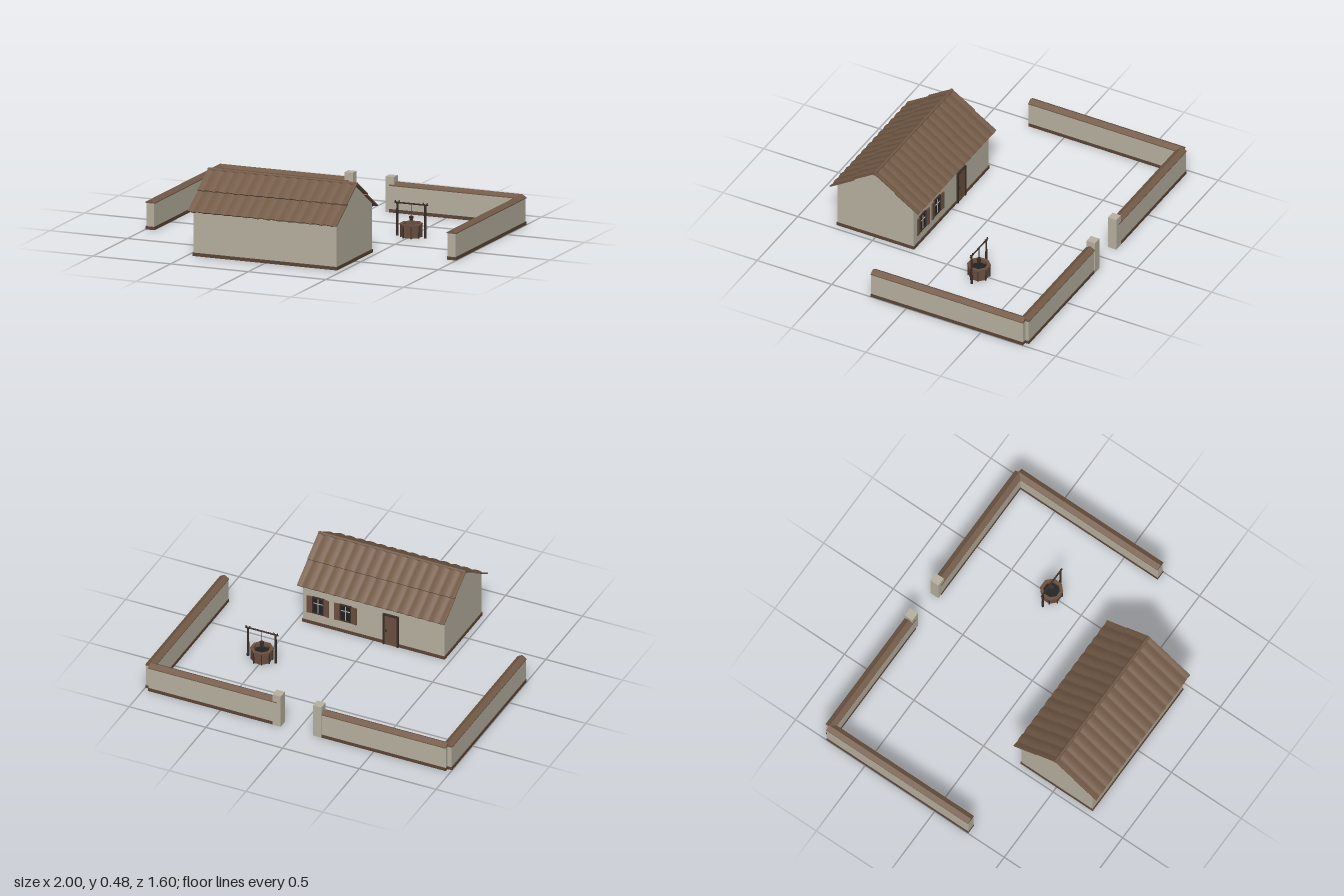
import * as THREE from 'three';

const mat = (name, color, side = THREE.FrontSide) => {
  const m = new THREE.MeshStandardMaterial({ color, side });
  m.name = name;
  return m;
};

export function createModel() {
  const root = new THREE.Group();
  const plaster = mat('plaster', 0xb8b1a0, THREE.DoubleSide);
  const tile = mat('roofTile', 0x735a47);
  const plinth = mat('plinthBrown', 0x5c4536);
  const timber = mat('darkTimber', 0x3c2f27);
  const wood = mat('wood', 0x6b5040);
  const glass = mat('darkGlass', 0x202124);
  wood.flatShading = true;

  const add = (parent, name, geo, material, x = 0, y = 0, z = 0) => {
    const m = new THREE.Mesh(geo, material);
    m.name = name;
    m.position.set(x, y, z);
    parent.add(m);
    return m;
  };
  const box = (parent, name, material, w, h, d, x, y, z) =>
    add(parent, name, new THREE.BoxGeometry(w, h, d), material, x, y, z);
  const group = (parent, name, x = 0, y = 0, z = 0) => {
    const g = new THREE.Group();
    g.name = name;
    g.position.set(x, y, z);
    parent.add(g);
    return g;
  };

  // House shell, open underneath
  const house = group(root, 'house', 0, 0, 0.5);
  const HX = 0.46, HZ = 0.255, EAVE = 0.3, APEX = 0.46;
  const gable = new THREE.Shape([[-HZ, 0], [HZ, 0], [HZ, EAVE], [0, APEX], [-HZ, EAVE]]
    .map(p => new THREE.Vector2(...p)));
  for (const s of [-1, 1]) {
    add(house, 'gableWall', new THREE.ShapeGeometry(gable), plaster, s * HX).rotation.y = s * Math.PI / 2;
    const wall = add(house, 'longWall', new THREE.PlaneGeometry(2 * HX, EAVE), plaster, 0, EAVE / 2, s * HZ);
    if (s < 0) wall.rotation.y = Math.PI;
    box(house, 'plinth', plinth, 2 * HX + 0.01, 0.02, 0.01, 0, 0.01, s * HZ);
    box(house, 'plinth', plinth, 0.01, 0.02, 2 * HZ, s * HX, 0.01, 0);
  }

  // Corrugated tile courses, two on each slope
  const course = (z0, z1, y) => {
    const g = new THREE.BoxGeometry(0.96, 0.007, z1 - z0, 14 * 8, 1, 1);
    const p = g.attributes.position;
    for (let i = 0; i < p.count; i++) {
      const wave = Math.abs(Math.cos(p.getX(i) / 0.96 * Math.PI * 14));
      p.setY(i, p.getY(i) + 0.006 * (wave - 0.6));
    }
    g.translate(0, y, (z0 + z1) / 2);
    g.computeVertexNormals();
    return g;
  };
  for (const s of [0, 1]) {
    const side = group(house, 'roofSide', 0, 0.467, 0);
    side.rotation.y = s * Math.PI;
    const slope = group(side, 'roofSlope');
    slope.rotation.x = Math.atan(0.63);
    add(slope, 'upperTiles', course(0, 0.18, 0.002), tile);
    add(slope, 'lowerTiles', course(0.165, 0.353, -0.005), tile);
  }
  const ridge = add(house, 'ridge', new THREE.CylinderGeometry(0.01, 0.01, 0.96, 8), tile, 0, 0.469, 0);
  ridge.rotation.z = Math.PI / 2;

  // Windows with shutters on the yard side
  for (const x of [0.36, 0.18]) {
    const win = group(house, 'window', x, 0.14, -HZ);
    box(win, 'glass', glass, 0.06, 0.1, 0.006, 0, 0, -0.002);
    for (const s of [-1, 1]) {
      box(win, 'frameSide', timber, 0.008, 0.116, 0.012, s * 0.034, 0, -0.004);
      box(win, 'frameRail', timber, 0.076, 0.008, 0.012, 0, s * 0.054, -0.004);
      box(win, 'shutter', wood, 0.034, 0.116, 0.008, s * 0.056, 0, -0.009).rotation.y = s * 0.15;
    }
    box(win, 'mullion', plaster, 0.006, 0.1, 0.004, 0, 0, -0.006);
    box(win, 'transom', plaster, 0.06, 0.005, 0.004, 0, 0.015, -0.006);
  }

  // Door
  const door = group(house, 'door', -0.115, 0, -HZ);
  box(door, 'doorPanel', wood, 0.084, 0.205, 0.01, 0, 0.1025, -0.003);
  for (const s of [-1, 1]) box(door, 'doorJamb', timber, 0.01, 0.215, 0.018, s * 0.046, 0.1075, -0.004);
  box(door, 'doorLintel', timber, 0.102, 0.01, 0.018, 0, 0.21, -0.004);
  box(door, 'doorHandle', timber, 0.006, 0.016, 0.008, 0.03, 0.1, -0.01);

  // Yard walls: plinth, plastered body and a gabled cap along local z
  const cap = new THREE.Shape([[-0.03, 0.16], [0.03, 0.16], [0.03, 0.166], [0, 0.184], [-0.03, 0.166]]
    .map(p => new THREE.Vector2(...p)));
  const yardWall = (len, x, z, turn) => {
    const g = group(root, 'yardWall', x, 0, z);
    g.rotation.y = turn;
    box(g, 'wallBody', plaster, 0.05, 0.15, len - 0.002, 0, 0.09, 0);
    box(g, 'wallPlinth', plinth, 0.058, 0.02, len, 0, 0.01, 0);
    const c = new THREE.ExtrudeGeometry(cap, { depth: len, bevelEnabled: false });
    add(g, 'wallCap', c, tile, 0, 0, -len / 2);
  };
  for (const s of [-1, 1]) {
    yardWall(1.02, s * 0.97, -0.27, 0);
    yardWall(0.84, s * 0.55, -0.775, Math.PI / 2);
    box(root, 'gatePost', plaster, 0.055, 0.215, 0.056, s * 0.1325, 0.1075, -0.777);
  }

  // Octagonal well
  const well = group(root, 'well', 0.508, 0, -0.218);
  const ring = [[0, 0.002], [0.062, 0.002], [0.066, 0.076], [0.07, 0.076], [0.07, 0.083], [0.05, 0.083], [0.05, 0.05]]
    .map(p => new THREE.Vector2(...p));
  add(well, 'wellRing', new THREE.LatheGeometry(ring, 8, Math.PI / 8), wood);
  add(well, 'water', new THREE.CylinderGeometry(0.051, 0.051, 0.004, 8, 1, false, Math.PI / 8), glass, 0, 0.058, 0);
  for (let i = 0; i < 8; i++) {
    const a = (i + 0.5) * Math.PI / 4;
    box(well, 'wellStave', timber, 0.006, 0.076, 0.006, Math.sin(a) * 0.064, 0.038, Math.cos(a) * 0.064).rotation.y = a;
  }

  // Forked posts, beam, rope and bucket
  for (const s of [-1, 1]) {
    add(well, 'wellPost', new THREE.CylinderGeometry(0.006, 0.008, 0.195, 6), timber, s * 0.09, 0.0975, 0);
    for (const t of [-1, 1]) {
      add(well, 'postFork', new THREE.CylinderGeometry(0.003, 0.005, 0.03, 5), timber,
        s * 0.09 + t * 0.007, 0.2, 0).rotation.z = -t * 0.5;
    }
  }
  add(well, 'beam', new THREE.CylinderGeometry(0.005, 0.005, 0.215, 6), timber, 0, 0.2, 0).rotation.z = Math.PI / 2;
  add(well, 'rope', new THREE.CylinderGeometry(0.002, 0.002, 0.08, 5), timber, 0, 0.16, 0);
  add(well, 'bucket', new THREE.CylinderGeometry(0.014, 0.011, 0.025, 8), timber, 0, 0.112, 0);
  return root;
}
